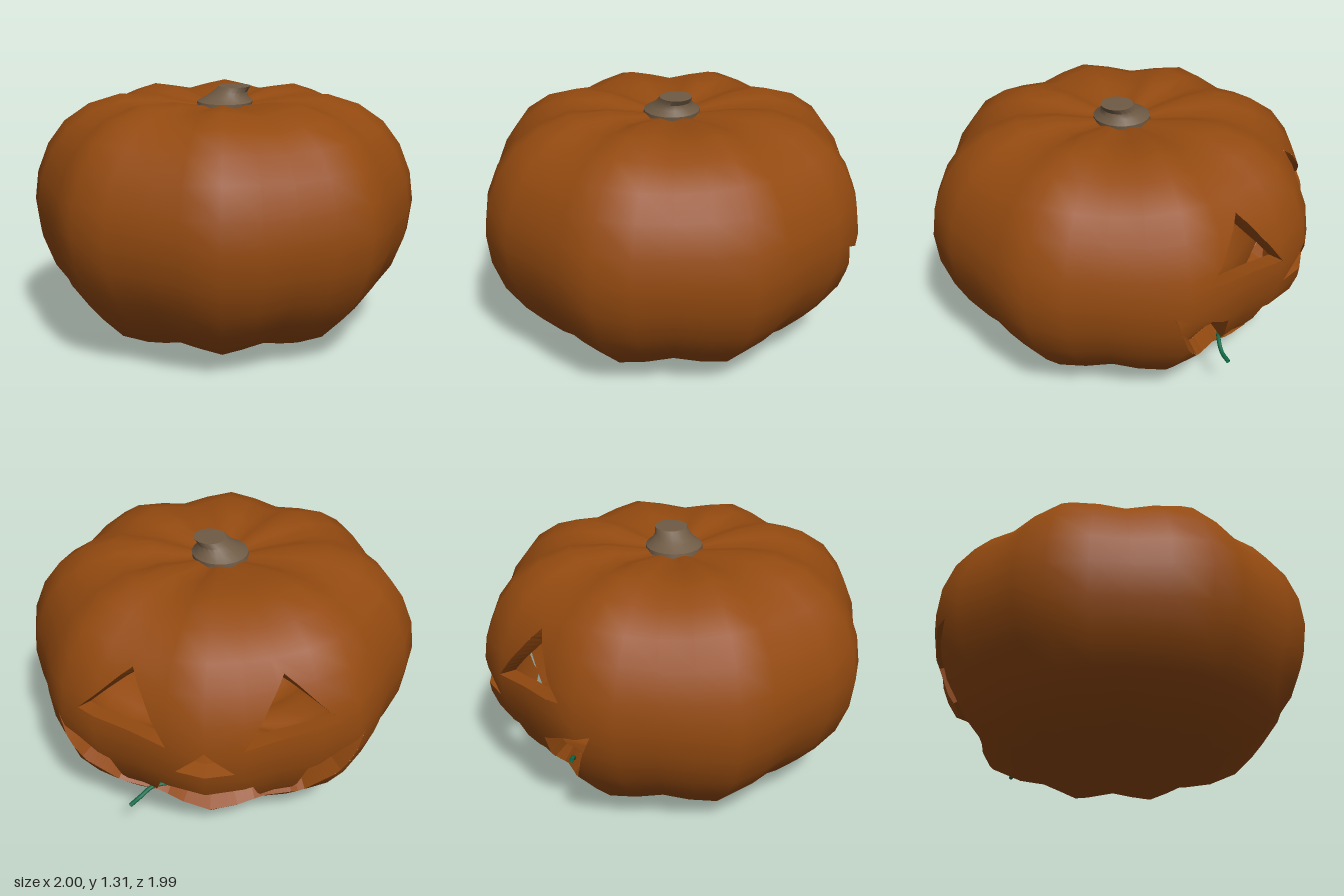
import * as THREE from 'three';
import { toCreasedNormals } from 'three/addons/utils/BufferGeometryUtils.js';

const COLS = 32, MID = 0.63, WALL = 0.085;

// Rib profile from bottom to top: radius, height
const PROFILE = [[0, 0.04], [0.2, 0.02], [0.38, 0], [0.54, 0.04], [0.7, 0.12], [0.82, 0.24], [0.92, 0.38],
  [0.98, 0.54], [1, 0.7], [0.98, 0.85], [0.92, 1], [0.83, 1.12], [0.7, 1.21], [0.54, 1.26], [0.35, 1.258],
  [0.16, 1.22], [0, 1.19]];
const ROWS = PROFILE.length - 1;

// Eight ribs: shrink towards the centre in the grooves
const rib = (t, r) => 1 + 0.03 * (Math.cos(8 * t) - 1) * Math.min(1, r / 0.35);

function gridPoint(i, j) {
  const t = (i / COLS) * Math.PI * 2, [r, y] = PROFILE[j], g = rib(t, r);
  return new THREE.Vector3(r * g * Math.sin(t), MID + (y - MID) * g, -r * g * Math.cos(t));
}

function gridNormal(i, j) {
  if (j === 0 || j === ROWS) return new THREE.Vector3(0, j ? 1 : -1, 0);
  const du = gridPoint(i + 1, j).sub(gridPoint(i - 1, j));
  const dv = gridPoint(i, j + 1).sub(gridPoint(i, j - 1));
  return dv.cross(du).normalize();
}

// Blend a grid quantity inside its cell
function blend(fn, [u, v]) {
  const i = Math.floor(u), j = Math.min(ROWS - 1, Math.max(0, Math.floor(v))), a = u - i, b = v - j;
  return fn(i, j).lerp(fn(i + 1, j), a).lerp(fn(i, j + 1).lerp(fn(i + 1, j + 1), a), b);
}
const normalAt = p => blend(gridNormal, p).normalize();
const outerAt = p => blend(gridPoint, p);
const innerAt = p => outerAt(p).addScaledVector(normalAt(p), -WALL);

// Turn a face position (x, y) into grid coordinates
function toGrid([x, y]) {
  let t = 0, v = 0;
  for (let n = 0; n < 12; n++) {
    const py = MID + (y - MID) / rib(t, 1);
    let j = 2;
    while (j < ROWS - 4 && PROFILE[j + 1][1] < py) j++;
    const k = (py - PROFILE[j][1]) / (PROFILE[j + 1][1] - PROFILE[j][1]);
    const r = THREE.MathUtils.lerp(PROFILE[j][0], PROFILE[j + 1][0], k) * rib(t, 1);
    t = Math.asin(Math.min(1, Math.max(-1, x / r)));
    v = j + k;
  }
  return [(t / (Math.PI * 2)) * COLS, v];
}

const mirror = pts => pts.map(([x, y]) => [-x, y]).reverse();

// Carved openings, counter-clockwise in (x, y)
const EYE = [[0.18, 0.73], [0.62, 0.78], [0.34, 1.03]];
const NOSE = [[-0.14, 0.59], [0.14, 0.59], [0, 0.74]];
// Mouth columns: x, lower lip, upper lip with one tooth
const MOUTH = [[0, 0.145, 0.45], [0.22, 0.185, 0.46], [0.25, 0.195, 0.34], [0.4, 0.23, 0.35],
  [0.47, 0.25, 0.52], [0.64, 0.41, 0.6], [0.75, 0.65, 0.65]];

function openings() {
  const convex = [EYE, mirror(EYE), NOSE];
  for (let i = 0; i < MOUTH.length - 1; i++) {
    const [x0, a0, b0] = MOUTH[i], [x1, a1, b1] = MOUTH[i + 1];
    const piece = [[x0, a0], [x1, a1], [x1, b1], [x0, b0]];
    if (a1 === b1) piece.splice(2, 1);
    convex.push(piece, mirror(piece));
  }
  const lower = MOUTH.map(([x, a]) => [x, a]);
  const upper = MOUTH.map(([x, , b]) => [x, b]).slice(0, -1).reverse();
  const half = [...lower, ...upper];
  const mouth = [...half, ...mirror(half).slice(1, -1)];
  return {
    convex: convex.map(p => p.map(toGrid)),
    outlines: [EYE, mirror(EYE), NOSE, mouth].map(p => p.map(toGrid)),
  };
}

// Cut a convex polygon along a line
function split(poly, a, b) {
  const side = p => (b[0] - a[0]) * (p[1] - a[1]) - (b[1] - a[1]) * (p[0] - a[0]);
  const inside = [], outside = [];
  poly.forEach((p, i) => {
    const q = poly[(i + 1) % poly.length], sp = side(p), sq = side(q);
    if (sp >= 0) inside.push(p);
    if (sp <= 0) outside.push(p);
    if (sp * sq < 0) {
      const k = sp / (sp - sq), m = [p[0] + (q[0] - p[0]) * k, p[1] + (q[1] - p[1]) * k];
      inside.push(m);
      outside.push(m);
    }
  });
  return [inside, outside];
}

function area(p) {
  let s = 0;
  p.forEach(([x, y], i) => { const q = p[(i + 1) % p.length]; s += x * q[1] - q[0] * y; });
  return s / 2;
}

// Remove a convex opening from a convex polygon
function subtract(poly, hole) {
  const kept = [];
  let rest = poly;
  for (let i = 0; i < hole.length; i++) {
    const [inside, outside] = split(rest, hole[i], hole[(i + 1) % hole.length]);
    if (inside.length < 3 || area(inside) < 1e-7) return [poly];
    if (outside.length > 2 && area(outside) > 1e-7) kept.push(outside);
    rest = inside;
  }
  return kept;
}

function makeGeometry(pos, nor) {
  const g = new THREE.BufferGeometry();
  g.setAttribute('position', new THREE.Float32BufferAttribute(pos, 3));
  if (nor) g.setAttribute('normal', new THREE.Float32BufferAttribute(nor, 3));
  else g.computeVertexNormals();
  return g;
}

// One skin of the shell, outer or inner, with the openings left out
function skin(pieces, at, outward) {
  const pos = [], nor = [];
  for (const p of pieces) {
    for (let k = 1; k < p.length - 1; k++) {
      const tri = outward ? [p[0], p[k + 1], p[k]] : [p[0], p[k], p[k + 1]];
      for (const q of tri) {
        pos.push(...at(q).toArray());
        nor.push(...normalAt(q).multiplyScalar(outward ? 1 : -1).toArray());
      }
    }
  }
  return makeGeometry(pos, nor);
}

// Cut faces through the shell around an opening
function cutWall(outline) {
  const pos = [], STEPS = 10;
  outline.forEach((a, i) => {
    const b = outline[(i + 1) % outline.length];
    const at = k => [a[0] + (b[0] - a[0]) * k / STEPS, a[1] + (b[1] - a[1]) * k / STEPS];
    for (let k = 0; k < STEPS; k++) {
      const p = at(k), q = at(k + 1);
      const A = outerAt(p), B = outerAt(q), C = innerAt(q), D = innerAt(p);
      for (const v of [A, D, C, A, C, B]) pos.push(...v.toArray());
    }
  });
  return makeGeometry(pos);
}

export function createModel() {
  const orange = new THREE.MeshStandardMaterial({ color: 0x944a10 });
  orange.name = 'pumpkin orange';
  const brown = new THREE.MeshStandardMaterial({ color: 0x6f5b45 });
  brown.name = 'stem brown';
  const green = new THREE.MeshStandardMaterial({ color: 0x0f6a48, side: THREE.DoubleSide });
  green.name = 'tendril green';

  const model = new THREE.Group();
  model.name = 'carvedPumpkin';
  const add = (name, geometry, material) => {
    const mesh = new THREE.Mesh(geometry, material);
    mesh.name = name;
    model.add(mesh);
  };

  // Hollow shell with carved face
  const { convex, outlines } = openings();
  let pieces = [];
  for (let i = -COLS / 2; i < COLS / 2; i++)
    for (let j = 0; j < ROWS; j++) pieces.push([[i, j], [i + 1, j], [i + 1, j + 1], [i, j + 1]]);
  for (const hole of convex) pieces = pieces.flatMap(p => subtract(p, hole));
  add('outerSkin', skin(pieces, outerAt, true), orange);
  add('innerSkin', skin(pieces, innerAt, false), orange);
  ['leftEyeCut', 'rightEyeCut', 'noseCut', 'mouthCut'].forEach((n, i) => add(n, cutWall(outlines[i]), orange));

  // Flared stem leaning to one side
  const stemProfile = [[0.145, 1.18], [0.143, 1.225], [0.108, 1.25], [0.088, 1.275], [0.082, 1.303], [0, 1.306]];
  const stem = new THREE.LatheGeometry(stemProfile.map(([r, y]) => new THREE.Vector2(r, y)), 20);
  const sp = stem.attributes.position;
  for (let i = 0; i < sp.count; i++)
    sp.setX(i, sp.getX(i) + 0.055 * ((sp.getY(i) - 1.18) / 0.12) ** 2);
  add('stem', toCreasedNormals(stem, 0.7), brown);

  // Tendrils at the lower lip
  const tendril = pts => new THREE.TubeGeometry(
    new THREE.CatmullRomCurve3(pts.map(p => new THREE.Vector3(...p))), 24, 0.011, 8);
  add('leftTendril', tendril([[0.39, 0.205, -0.785], [0.35, 0.215, -0.735], [0.29, 0.25, -0.69],
    [0.2, 0.255, -0.66], [0.13, 0.24, -0.64]]), green);
  add('rightTendril', tendril([[-0.38, 0.29, -0.66], [-0.34, 0.28, -0.645], [-0.27, 0.22, -0.62]]), green);

  return model;
}
